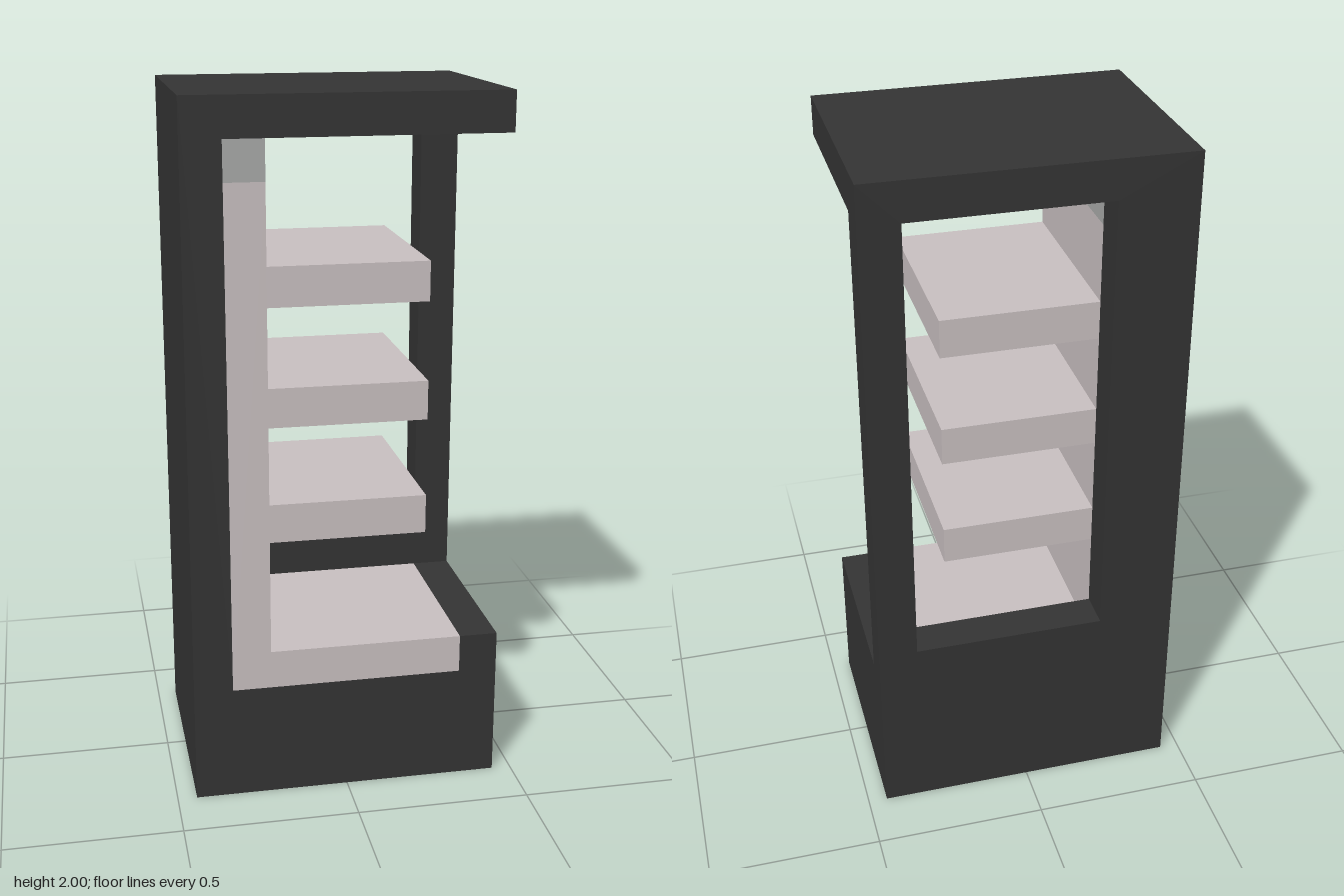
import * as THREE from 'three';

// All dimensions follow a module of 1/9 unit: 8 wide, 18 tall, 6 deep.
const U = 1 / 9;

export function createModel() {
  const group = new THREE.Group();
  group.name = 'openDisplayCabinet';

  const material = (name, color) => {
    const m = new THREE.MeshStandardMaterial({ color });
    m.name = name;
    return m;
  };
  const charcoal = material('charcoal', 0x343434);
  const paleRose = material('paleRose', 0xc9c0c1);
  const lightGrey = material('lightGrey', 0xa8aaa9);

  const points = (list) => list.map(([x, y]) => new THREE.Vector2(x * U, y * U));

  // Extrudes an outline given in modules from z0 to z1
  const extrude = (name, mat, outline, z0, z1, hole) => {
    const shape = new THREE.Shape(points(outline));
    if (hole) shape.holes.push(new THREE.Path(points(hole)));
    const geometry = new THREE.ExtrudeGeometry(shape, { depth: (z1 - z0) * U, bevelEnabled: false });
    geometry.translate(0, 0, z0 * U);
    const mesh = new THREE.Mesh(geometry, mat);
    mesh.name = name;
    group.add(mesh);
  };

  // Box given by its corner ranges in modules
  const box = (name, mat, [x0, x1], [y0, y1], [z0, z1]) => {
    const mesh = new THREE.Mesh(new THREE.BoxGeometry((x1 - x0) * U, (y1 - y0) * U, (z1 - z0) * U), mat);
    mesh.position.set((x0 + x1) * U / 2, (y0 + y1) * U / 2, (z0 + z1) * U / 2);
    mesh.name = name;
    group.add(mesh);
  };

  const front = 3, inner = -2, back = -3;

  // Base, side wall, roof and low rail as one C-shaped shell
  extrude('shell', charcoal, [
    [-4, 0], [4, 0], [4, 4], [3, 4], [3, 3], [-3, 3],
    [-3, 17], [4, 17], [4, 18], [-4, 18],
  ], inner, front);

  // Rear frame with its window opening and corner post
  extrude('rearFrame', charcoal,
    [[-4, 0], [4, 0], [4, 18], [-4, 18]], back, inner,
    [[-2, 5], [-2, 17], [3, 17], [3, 5]]);

  // Inner lining of wall and floor
  extrude('lining', paleRose,
    [[-3, 3], [3, 3], [3, 4], [-2, 4], [-2, 16], [-3, 16]], inner, front);

  // Light strip along the top of the lining
  box('lightStrip', lightGrey, [-3, -2], [16, 17], [inner, front]);

  // Three cantilevered shelves
  for (const y of [7, 10, 13]) box('shelf', paleRose, [-2, 2], [y, y + 1], [inner, front]);

  return group;
}
